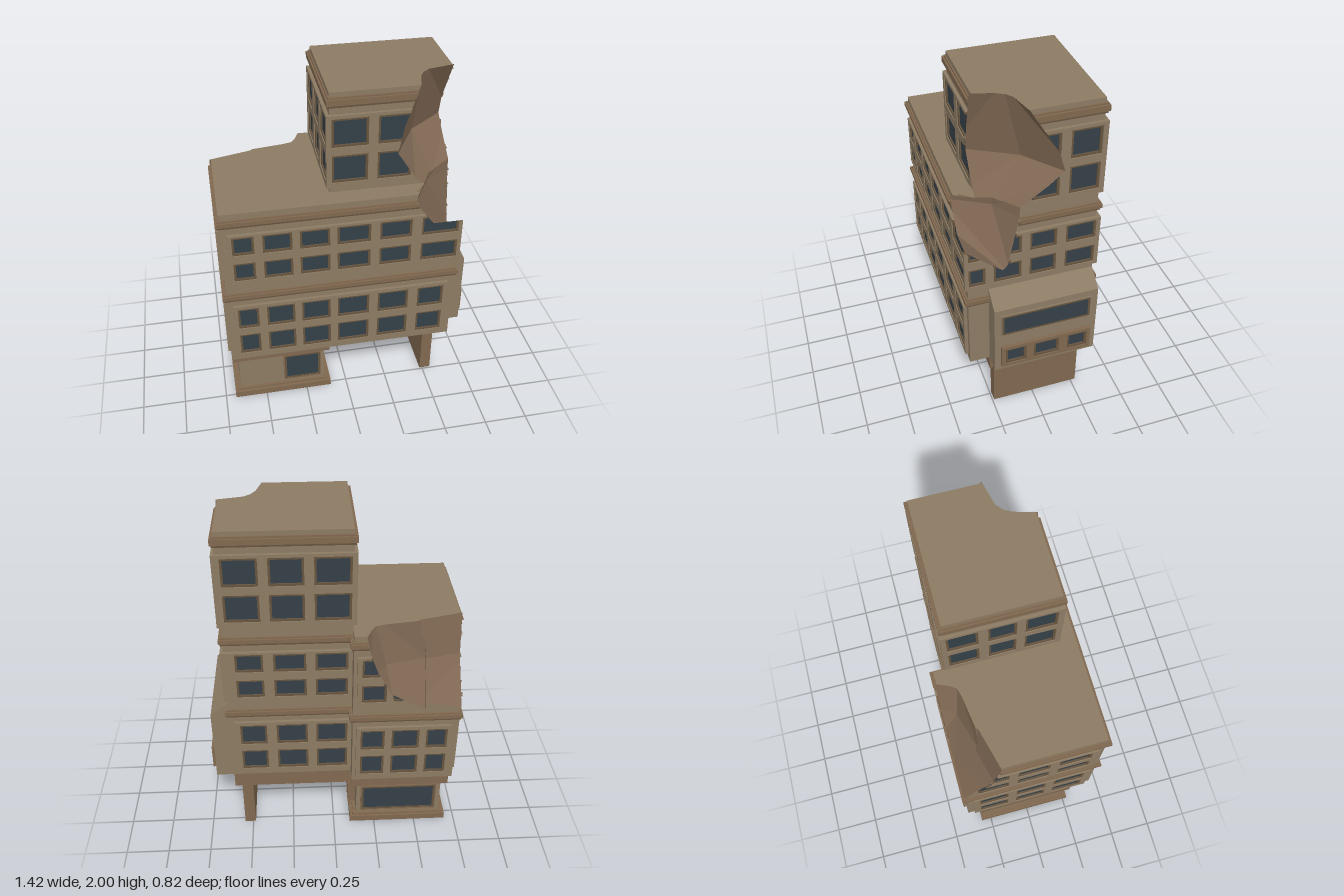
import * as THREE from 'three';
import { ConvexGeometry } from 'three/addons/geometries/ConvexGeometry.js';

const WALL = 0x8c7b64, BROWN = 0x80684f, FRAME = 0x66543f, GLASS = 0x343f47, RUBBLE = 0x7f6853;
const V = (x, y, z) => new THREE.Vector3(x, y, z);

// --- polygon helpers: geometry <-> polygons, and splitting by planes ---
function toPolys(geo) {
  const p = (geo.index ? geo.toNonIndexed() : geo).attributes.position, out = [];
  for (let i = 0; i < p.count; i += 3) out.push([0, 1, 2].map(k => V().fromBufferAttribute(p, i + k)));
  return out;
}

function toGeometry(polys) {
  const pts = [];
  for (const p of polys) for (let i = 1; i < p.length - 1; i++) pts.push(p[0], p[i], p[i + 1]);
  const geo = new THREE.BufferGeometry().setFromPoints(pts);
  geo.computeVertexNormals();
  return geo;
}

const toPlanes = polys => polys.map(f => new THREE.Plane().setFromCoplanarPoints(...f));

function split(poly, plane) {
  const front = [], back = [];
  poly.forEach((a, i) => {
    const b = poly[(i + 1) % poly.length];
    const da = plane.distanceToPoint(a), db = plane.distanceToPoint(b);
    (da > 0 ? front : back).push(a);
    if ((da > 0) !== (db > 0)) {
      const m = a.clone().lerp(b, da / (da - db));
      front.push(m);
      back.push(m);
    }
  });
  return [front, back];
}

function keepOutside(polys, planes) {
  return polys.flatMap(poly => {
    let rest = poly;
    const pieces = [];
    for (const plane of planes) {
      const [front, back] = split(rest, plane);
      if (front.length > 2) pieces.push(front);
      rest = back;
      if (rest.length < 3) return [poly];
    }
    return pieces;
  });
}

const keepInside = (polys, planes) =>
  planes.reduce((list, pl) => list.map(p => split(p, pl)[1]).filter(p => p.length > 2), polys);

function boxGeo([x0, x1], [y0, y1], [z0, z1]) {
  return new THREE.BoxGeometry(x1 - x0, y1 - y0, z1 - z0)
    .translate((x0 + x1) / 2, (y0 + y1) / 2, (z0 + z1) / 2);
}

// --- broken-out hollow at a corner: each level gives height, reach along x, reach along z, bulge ---
function hollow(cx, cz, dir, levels, ...tips) {
  const pts = [...tips];
  levels.forEach(([y, rx, rz, bulge], i) => {
    pts.push(V(cx + dir * rx, y, cz), V(cx, y, cz + dir * rz), V(cx + dir * rx * bulge, y, cz + dir * rz * bulge));
    if (i === 0 || i === levels.length - 1) pts.push(V(cx, y, cz));
  });
  const faces = toPolys(new ConvexGeometry(pts));
  return { faces, planes: toPlanes(faces) };
}

const hollows = [
  // tower corner
  hollow(.66, .36, -1, [[2.06, .3, .27, .8], [1.84, .31, .38, .65], [1.63, .44, .53, .6], [1.43, .31, .24, .6]]),
  // storey below the tower, with a downward crack in the side wall
  hollow(.66, .44, -1, [[1.56, .31, .38, .6], [1.4, .34, .37, .62], [1.28, .25, .34, .55]], V(.63, 1.04, .16)),
  // rear corner and rear wall of the wing
  hollow(-.76, -.46, 1, [[1.5, .4, .31, .75], [1.2, .4, .25, .72], [.93, .4, .05, .5]]),
  hollow(-.5, -.46, 1, [[1.5, .375, .22, .8], [1.2, .31, .2, .7], [.94, .17, .06, .5]]),
];

// --- footprints ---
const MAIN_X = [-.1, .588], MAIN_Z = [-.31, .388], WING_X = [-.69, -.1], WING_Z = [-.39, .388];
const TOWER_Z = [-.31, .28], BASE_Z = [-.31, .275], CORE_Z = [-.28, .24];
const grow = ([a, b], d) => [a - d, b + d];

// wall direction: turn about y, and sign from world axis to local axis
const FACES = { front: [0, 1], back: [Math.PI, -1], right: [Math.PI / 2, -1], left: [-Math.PI / 2, 1] };

function rectShape([a, b], [c, d], Type = THREE.Shape) {
  return new Type([[a, c], [b, c], [b, d], [a, d]].map(p => new THREE.Vector2(...p)));
}

export function createModel() {
  const group = new THREE.Group();

  // one mesh with the hollows cut away
  function part(name, color, ...geos) {
    let polys = geos.flatMap(toPolys);
    for (const h of hollows) polys = keepOutside(polys, h.planes);
    const mesh = new THREE.Mesh(toGeometry(polys), new THREE.MeshStandardMaterial({ color }));
    mesh.name = name;
    group.add(mesh);
  }
  const box = (name, color, x, y, z) => part(name, color, boxGeo(x, y, z));

  // raised wall panel with framed, recessed windows
  function panel(name, face, dist, span, height, cols, rows, depth = .018, color = WALL) {
    const [turn, s] = FACES[face];
    const local = r => r.map(v => v * s).sort((a, b) => a - b);
    const place = (geo, w) => geo.translate(0, 0, w).rotateY(turn);
    const extrude = (shape, d) => place(new THREE.ExtrudeGeometry(shape, { depth: d, bevelEnabled: false }), dist);
    const wall = rectShape(local(span), height), frames = [], panes = [];
    for (const c of cols.map(local)) for (const r of rows) {
      wall.holes.push(rectShape(c, r, THREE.Path));
      const frame = rectShape(c, r);
      frame.holes.push(rectShape(grow(c, -.012), grow(r, -.012), THREE.Path));
      frames.push(extrude(frame, depth * .7));
      panes.push(place(boxGeo(c, r, [0, .004]), dist));
    }
    part(name + 'Panel', color, extrude(wall, depth));
    part(name + 'WindowFrames', FRAME, ...frames);
    part(name + 'WindowGlass', GLASS, ...panes);
  }

  // ground storey, support wall and slab
  box('groundFoot', BROWN, [-.69, -.1], [0, .04], BASE_Z);
  box('groundFootStep', BROWN, [-.675, -.12], [.04, .052], grow(CORE_Z, .018));
  box('groundRoom', WALL, [-.655, -.14], [.04, .3], CORE_Z);
  box('groundLedge', BROWN, [-.69, -.105], [.297, .34], BASE_Z);
  box('supportWall', BROWN, [.485, .55], [0, .34], CORE_Z);
  box('baseSlab', BROWN, [-.69, .588], [.337, .43], BASE_Z);
  panel('groundFront', 'front', .24, [-.385, -.155], [.07, .27], [[-.378, -.162]], [[.077, .263]], .008, BROWN);
  panel('groundBack', 'back', .28, [-.63, -.165], [.07, .27], [[-.622, -.173]], [[.077, .263]], .008, BROWN);
  panel('door', 'right', -.14, [-.18, -.05], [.04, .21], [[-.168, -.062]], [[.05, .198]], .045, BROWN);

  // main block and deeper wing, with string courses
  const storeys = (name, color, y, out) => part(name, color,
    boxGeo(grow(MAIN_X, out), y, grow(MAIN_Z, out)), boxGeo(grow(WING_X, out), y, grow(WING_Z, out)));
  storeys('mainWalls', WALL, [.43, 1.43], 0);
  for (const y of [.87, 1.35]) {
    storeys('corniceLower', FRAME, [y, y + .014], .012);
    storeys('corniceUpper', BROWN, [y + .014, y + .038], .02);
    storeys('corniceCap', BROWN, [y + .038, y + .046], .01);
  }

  // main windows
  const wingCols = [[-.635, -.52], [-.475, -.32], [-.28, -.12]];
  const mainCols = [[-.08, .1], [.15, .325], [.38, .53]];
  const sideCols = [[-.31, -.14], [-.09, .085], [.135, .315]];
  const rearCols = [[-.635, -.515], [-.475, -.32], [-.28, -.145]];
  const levels = [
    { name: 'lower', height: [.465, .83], rows: [[.487, .625], [.672, .81]] },
    { name: 'upper', height: [.99, 1.305], rows: [[1.01, 1.125], [1.177, 1.292]] },
  ];
  for (const { name, height, rows } of levels) {
    const top = name === 'upper';
    const frontCols = [...wingCols, ...mainCols.slice(0, 2), [.38, top ? .585 : .53]];
    panel(name + 'Front', 'front', .388, [-.655, top ? .606 : .555], height, frontCols, rows);
    panel(name + 'WingBack', 'back', .39, [-.655, -.12], height, rearCols, rows);
    panel(name + 'MainBack', 'back', .31, [-.098, top ? .606 : .56], height, [[-.075, .1], ...mainCols.slice(1)], rows);
    panel(name + 'Left', 'left', .69, [-.35, .35], height, sideCols, rows);
    if (top) panel('upperRight', 'right', .588, [-.328, .404], height,
      [[-.305, -.14], [-.09, .055], [.1, .25], [.295, .385]], rows);
  }

  // side bay with sloping roof
  const bay = new THREE.Shape([[.57, .43], [.69, .43], [.69, .88], [.588, .955], [.57, .955]]
    .map(p => new THREE.Vector2(...p)));
  part('sideBay', WALL, new THREE.ExtrudeGeometry(bay, { depth: .585, bevelEnabled: false }).translate(0, 0, -.31));
  panel('bayLarge', 'right', .69, [-.275, .24], [.69, .84], [[-.268, .233]], [[.697, .833]], .006);
  panel('baySmall', 'right', .69, [-.275, .24], [.465, .612],
    [[-.255, -.14], [-.09, .055], [.1, .217]], [[.485, .592]], .02, BROWN);

  // tower
  box('towerWalls', WALL, MAIN_X, [1.43, 2], TOWER_Z);
  box('towerCorniceLower', FRAME, grow(MAIN_X, .01), [1.92, 1.933], grow(TOWER_Z, .01));
  box('towerCornice', BROWN, grow(MAIN_X, .018), [1.933, 1.965], grow(TOWER_Z, .018));
  box('towerCorniceCap', BROWN, grow(MAIN_X, .008), [1.965, 1.975], grow(TOWER_Z, .008));
  const towerX = [[-.09, .1], [.15, .33], [.38, .565]], towerZ = [[-.3, -.14], [-.09, .055], [.1, .265]];
  const towerRows = [[1.495, 1.655], [1.702, 1.862]], towerY = [1.465, 1.88];
  panel('towerFront', 'front', .28, grow(MAIN_X, .016), towerY, towerX, towerRows);
  panel('towerBack', 'back', .31, grow(MAIN_X, .016), towerY, towerX, towerRows);
  panel('towerRight', 'right', .588, grow(TOWER_Z, .016), towerY, towerZ, towerRows);
  panel('towerLeft', 'left', .1, grow(TOWER_Z, .016), towerY, towerZ, towerRows);

  // broken surfaces: the hollow faces that lie within the solid blocks
  const solids = [
    [MAIN_X, [.43, 1.43], MAIN_Z], [WING_X, [.43, 1.43], WING_Z], [MAIN_X, [1.43, 2], TOWER_Z],
  ].map(([x, y, z]) => toPlanes(toPolys(boxGeo(grow(x, .008), y, grow(z, .008)))));
  hollows.forEach((h, i) => {
    let faces = h.faces.map(f => [...f].reverse());
    hollows.forEach((o, j) => { if (j !== i) faces = keepOutside(faces, o.planes); });
    const mesh = new THREE.Mesh(toGeometry(solids.flatMap(s => keepInside(faces, s))),
      new THREE.MeshStandardMaterial({ color: RUBBLE, side: THREE.DoubleSide }));
    mesh.name = 'brokenSurface';
    group.add(mesh);
  });

  return group;
}
